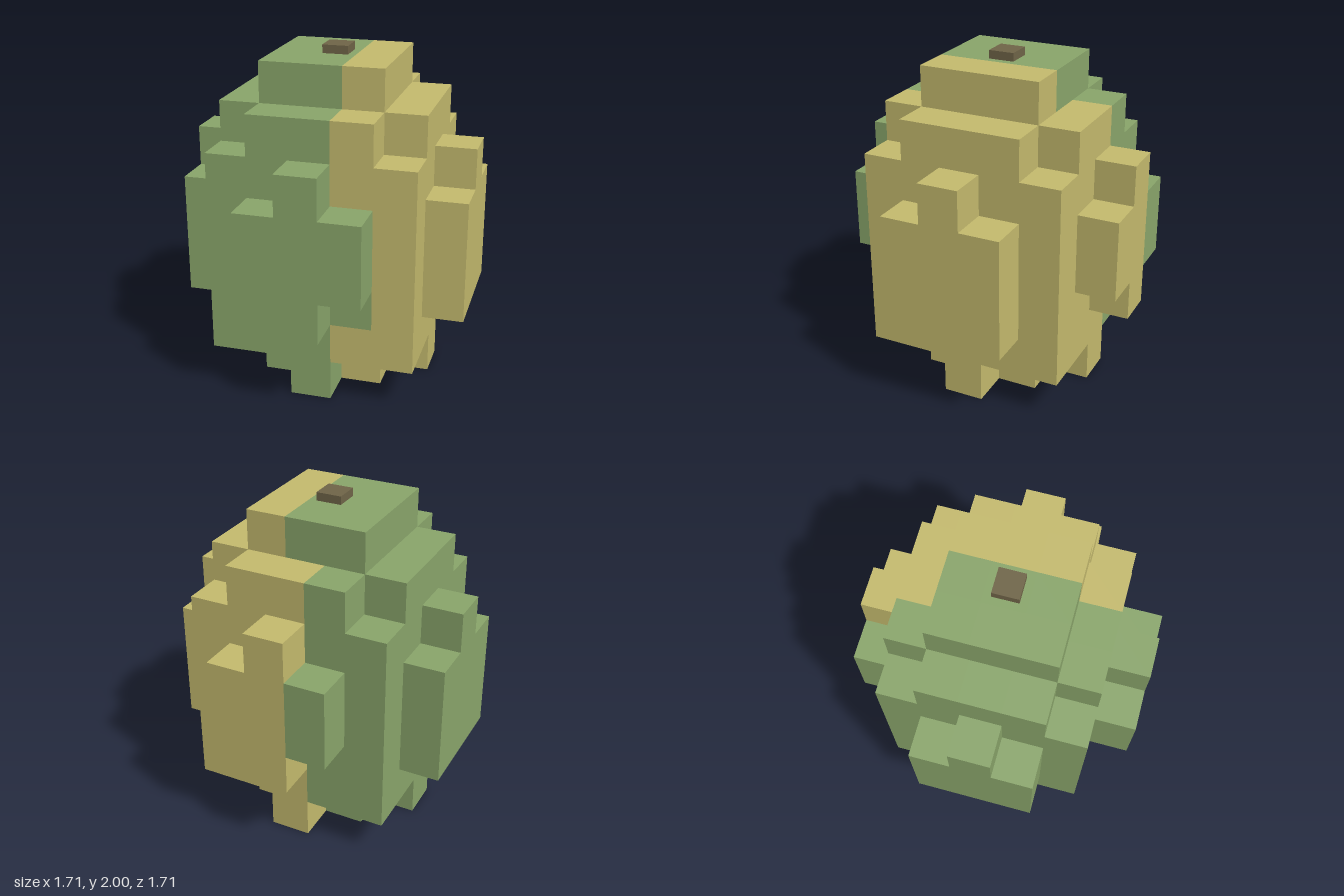
import * as THREE from 'three';
import { mergeGeometries } from 'three/addons/utils/BufferGeometryUtils.js';

const U = 1.95 / 8; // edge of one cube; x and z cells are centred on 0, rows count up from 0
const abs = Math.abs;

// Each part says which cells (x, row, z) it fills
const square = (x, z, r) => abs(x) <= r && abs(z) <= r;
const corner = (x, z) => abs(x) === 2 && abs(z) === 2;
const cross = (a, y) => (abs(a) <= 1 && (y === 3 || y === 4)) || (a === 0 && y >= 2 && y <= 5);
const slab = (a, y) => (abs(a) <= 1 && y >= 2 && y <= 4) || (a === 0 && y === 5);
const parts = {
  base: (x, y, z) => y === 0 && (square(x, z, 1) || abs(x) + abs(z) === 2),
  body: (x, y, z) => y >= 1 && y <= 5 && square(x, z, 2),
  shoulder: (x, y, z) => y === 6 && square(x, z, 2) && !corner(x, z),
  crown: (x, y, z) => y === 7 && square(x, z, 1),
  frontBulge: (x, y, z) => z === 3 && cross(x, y),
  backBulge: (x, y, z) => z === -3 && cross(x, y),
  leftBulge: (x, y, z) => x === 3 && slab(z, y),
  rightBulge: (x, y, z) => x === -3 && slab(z, y),
};
// The base has single middle cells on each side only
const base = parts.base;
parts.base = (x, y, z) => base(x, y, z) && (square(x, z, 1) || x === 0 || z === 0);

const filled = (x, y, z) => Object.values(parts).some((inside) => inside(x, y, z));

// Green side of the colour split
function isGreen(x, y, z) {
  if (z === 3) return true;
  if (x === 1 && y === 2 && z === 2) return true;
  return x <= (z <= -2 ? -1 : 0);
}

// Outward directions with the turn that points a plane that way
const sides = [
  [1, 0, 0, 0, Math.PI / 2], [-1, 0, 0, 0, -Math.PI / 2],
  [0, 1, 0, -Math.PI / 2, 0], [0, -1, 0, Math.PI / 2, 0],
  [0, 0, 1, 0, 0], [0, 0, -1, 0, Math.PI],
];

// Exposed cube faces of one part in one colour
function partGeometry(inside, green) {
  const faces = [];
  for (let x = -3; x <= 3; x++)
    for (let y = 0; y <= 7; y++)
      for (let z = -3; z <= 3; z++) {
        if (!inside(x, y, z) || isGreen(x, y, z) !== green) continue;
        for (const [dx, dy, dz, rx, ry] of sides) {
          if (filled(x + dx, y + dy, z + dz)) continue;
          faces.push(new THREE.PlaneGeometry(U, U).rotateX(rx).rotateY(ry)
            .translate((x + dx / 2) * U, (y + 0.5 + dy / 2) * U, (z + dz / 2) * U));
        }
      }
  return faces.length ? mergeGeometries(faces) : null;
}

export function createModel() {
  const model = new THREE.Group();
  model.name = 'blockFruit';
  const material = (name, color) => {
    const m = new THREE.MeshStandardMaterial({ color });
    m.name = name;
    return m;
  };
  const green = material('leafGreen', 0x8aa66b);
  const yellow = material('paleYellow', 0xc5bb6e);
  const brown = material('stemBrown', 0x706548);

  // Fruit parts, each split into its green and yellow halves
  for (const [name, inside] of Object.entries(parts)) {
    const group = new THREE.Group();
    group.name = name;
    for (const [label, mat] of [['Green', green], ['Yellow', yellow]]) {
      const geometry = partGeometry(inside, mat === green);
      if (!geometry) continue;
      const mesh = new THREE.Mesh(geometry, mat);
      mesh.name = name + label;
      group.add(mesh);
    }
    model.add(group);
  }

  // Short stem on top
  const stem = new THREE.Mesh(new THREE.BoxGeometry(0.154, 0.05, 0.154), brown);
  stem.name = 'stem';
  stem.position.y = 1.975;
  model.add(stem);
  return model;
}
